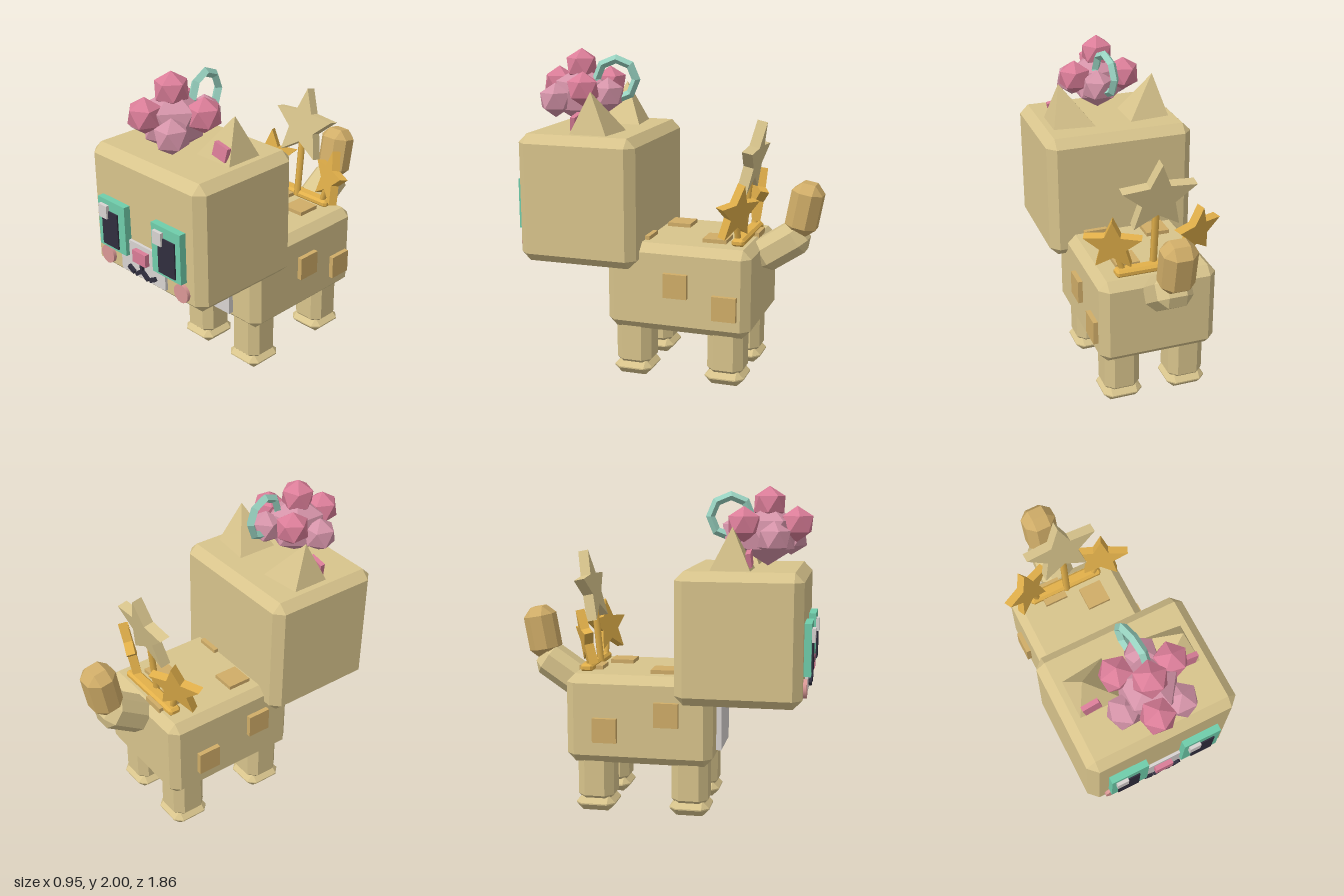
import * as THREE from 'three';
import { ConvexGeometry } from 'three/addons/geometries/ConvexGeometry.js';

const mat = (name, color) => {
  const m = new THREE.MeshStandardMaterial({ color });
  m.name = name;
  return m;
};

// Box with every edge cut off at width c
function chamferBox(w, h, d, c) {
  const pts = [];
  for (const x of [-1, 1]) for (const y of [-1, 1]) for (const z of [-1, 1]) {
    const [a, b, e] = [w / 2, h / 2, d / 2];
    pts.push(new THREE.Vector3(x * a, y * (b - c), z * (e - c)));
    pts.push(new THREE.Vector3(x * (a - c), y * b, z * (e - c)));
    pts.push(new THREE.Vector3(x * (a - c), y * (b - c), z * e));
  }
  return new ConvexGeometry(pts);
}

// Five-pointed plate centred on its own middle
function starGeometry(r, thickness) {
  const s = new THREE.Shape();
  for (let i = 0; i < 10; i++) {
    const q = i % 2 ? r * 0.45 : r, a = Math.PI / 2 + i * Math.PI / 5;
    if (i) s.lineTo(q * Math.cos(a), q * Math.sin(a));
    else s.moveTo(q * Math.cos(a), q * Math.sin(a));
  }
  return new THREE.ExtrudeGeometry(s, { depth: thickness, bevelEnabled: false }).translate(0, 0, -thickness / 2);
}

export function createModel() {
  const tan = mat('tan fur', 0xd8c48c), white = mat('pale fur', 0xd8d3d1);
  const patchMat = mat('caramel fur', 0xd0ad68), gold = mat('gold', 0xe2b04a);
  const pink = mat('deep pink', 0xda7d98), rose = mat('light pink', 0xd493a8);
  const mint = mat('pale mint', 0x98d2c0), teal = mat('teal', 0x6fcdab);
  const blush = mat('blush', 0xda9896), dark = mat('dark', 0x302e3e);

  const model = new THREE.Group();
  const add = (name, geo, material, x, y, z, rx = 0, ry = 0, rz = 0) => {
    const m = new THREE.Mesh(geo, material);
    m.name = name;
    m.position.set(x, y, z);
    m.rotation.set(rx, ry, rz, 'YXZ');
    model.add(m);
    return m;
  };
  // Plain box given by its limits on each axis
  const block = (name, material, x0, x1, y0, y1, z0, z1) =>
    add(name, new THREE.BoxGeometry(x1 - x0, y1 - y0, z1 - z0), material,
      (x0 + x1) / 2, (y0 + y1) / 2, (z0 + z1) / 2);

  // Head, body and chest
  add('head', chamferBox(0.95, 0.795, 0.755, 0.055), tan, 0, 1.1175, 0.4925);
  add('body', chamferBox(0.74, 0.55, 0.905, 0.052), tan, 0, 0.595, -0.1175);
  block('chest', white, -0.173, 0.173, 0.39, 0.76, 0.3, 0.367);

  // Legs and feet
  for (const x of [-0.21, 0.21]) for (const z of [0.188, -0.403]) {
    add('leg', chamferBox(0.226, 0.35, 0.226, 0.05), tan, x, 0.225, z);
    add('foot', chamferBox(0.248, 0.096, 0.248, 0.044), tan, x, 0.048, z);
  }

  // Tail
  add('tailBase', chamferBox(0.22, 0.34, 0.207, 0.055), tan, 0, 0.837, -0.68, -0.977);
  add('tailTip', chamferBox(0.208, 0.325, 0.19, 0.056), patchMat, 0, 1.075, -0.817, -0.18);

  // Fur patches on the back and the sides
  for (const [x, z] of [[0.14, -0.312], [-0.175, 0.015], [-0.098, -0.455], [0.19, 0.16]])
    block('backPatch', patchMat, x - 0.075, x + 0.075, 0.85, 0.894, z - 0.075, z + 0.075);
  for (const [side, y, z] of [[1, 0.63, -0.118], [1, 0.517, -0.423], [-1, 0.645, 0.06], [-1, 0.535, -0.32]])
    block('sidePatch', patchMat, side * 0.375 - 0.025, side * 0.375 + 0.025, y - 0.075, y + 0.075, z - 0.075, z + 0.075);

  // Eyes, cheeks and ears
  const cheek = new THREE.CylinderGeometry(0.058, 0.058, 0.03, 16).rotateX(Math.PI / 2);
  for (const s of [-1, 1]) {
    const eye = s * 0.238, pupil = s * 0.248;
    block('eye', teal, eye - 0.12, eye + 0.12, 0.905, 1.217, 0.86, 0.913);
    block('pupil', dark, pupil - 0.07, pupil + 0.07, 0.925, 1.15, 0.9, 0.922);
    const glint = s < 0 ? -0.295 : 0.184;
    block('eyeGlint', white, glint - 0.036, glint + 0.036, 1.102, 1.185, 0.9, 0.934);
    add('cheek', cheek, blush, s * 0.327, 0.83, 0.876);

    const ear = [[0.385, 1.5, 0.31], [0.105, 1.5, 0.28], [0.105, 1.5, 0.56], [0.385, 1.5, 0.56], [0.312, 1.768, 0.44]];
    add('ear', new ConvexGeometry(ear.map(([x, y, z]) => new THREE.Vector3(s * x, y, z))), tan, 0, 0, 0);
    add('innerEar', new THREE.BoxGeometry(0.105, 0.085, 0.03), pink, s * 0.305, 1.583, 0.54, -0.1, 0, -s * 0.2);
  }

  // Muzzle, nose and mouth
  block('muzzle', white, -0.193, 0.193, 0.79, 1.005, 0.86, 0.888);
  block('nose', pink, -0.057, 0.057, 0.897, 0.975, 0.87, 0.918);
  block('mouthLine', dark, -0.011, 0.011, 0.83, 0.897, 0.87, 0.905);
  for (const s of [-1, 1]) {
    add('mouthInner', new THREE.BoxGeometry(0.066, 0.026, 0.03), dark, s * 0.027, 0.826, 0.89, 0, 0, -s * 0.62);
    add('mouthOuter', new THREE.BoxGeometry(0.056, 0.026, 0.03), dark, s * 0.094, 0.825, 0.89, 0, 0, s * 0.5);
  }

  // Berry cluster on the head
  add('berryCore', new THREE.IcosahedronGeometry(0.19).rotateZ(-0.5536), rose, 0, 1.71, 0.62);
  const berry = new THREE.IcosahedronGeometry(0.108).rotateZ(-0.5536);
  const berries = [
    [pink, 0, 1.892, 0.625], [pink, -0.13, 1.775, 0.485], [pink, 0.175, 1.765, 0.545],
    [pink, -0.035, 1.775, 0.795], [rose, 0.135, 1.685, 0.75], [rose, -0.17, 1.69, 0.67], [rose, 0.055, 1.72, 0.43],
  ];
  berries.forEach(([m, x, y, z], i) => add('berry', berry, m, x, y, z, 0, i * 0.7));

  // Curled stem as a faceted ring
  const ring = new THREE.TorusGeometry(0.125, 0.028, 4, 8).toNonIndexed();
  ring.computeVertexNormals();
  add('berryStem', ring, mint, 0.02, 1.815, 0.388, 0, -1.39);

  // Star ornament: base bar, posts and three stars
  add('starBar', chamferBox(0.5, 0.05, 0.08, 0.015), gold, 0, 0.89, -0.465);
  add('starPost', new THREE.CylinderGeometry(0.022, 0.022, 0.4, 6), gold, 0, 1.08, -0.455, -0.1);
  add('largeStar', starGeometry(0.24, 0.065), tan, 0, 1.36, -0.495, -0.21);
  for (const s of [-1, 1]) {
    add('sidePost', new THREE.CylinderGeometry(0.02, 0.02, 0.16, 6), gold, s * 0.22, 0.96, -0.455, 0, 0, -s * 0.3);
    add('smallStar', starGeometry(0.18, 0.055), gold, s * 0.26, 1.08, -0.46, -0.2, -s * 0.43);
  }
  return model;
}
